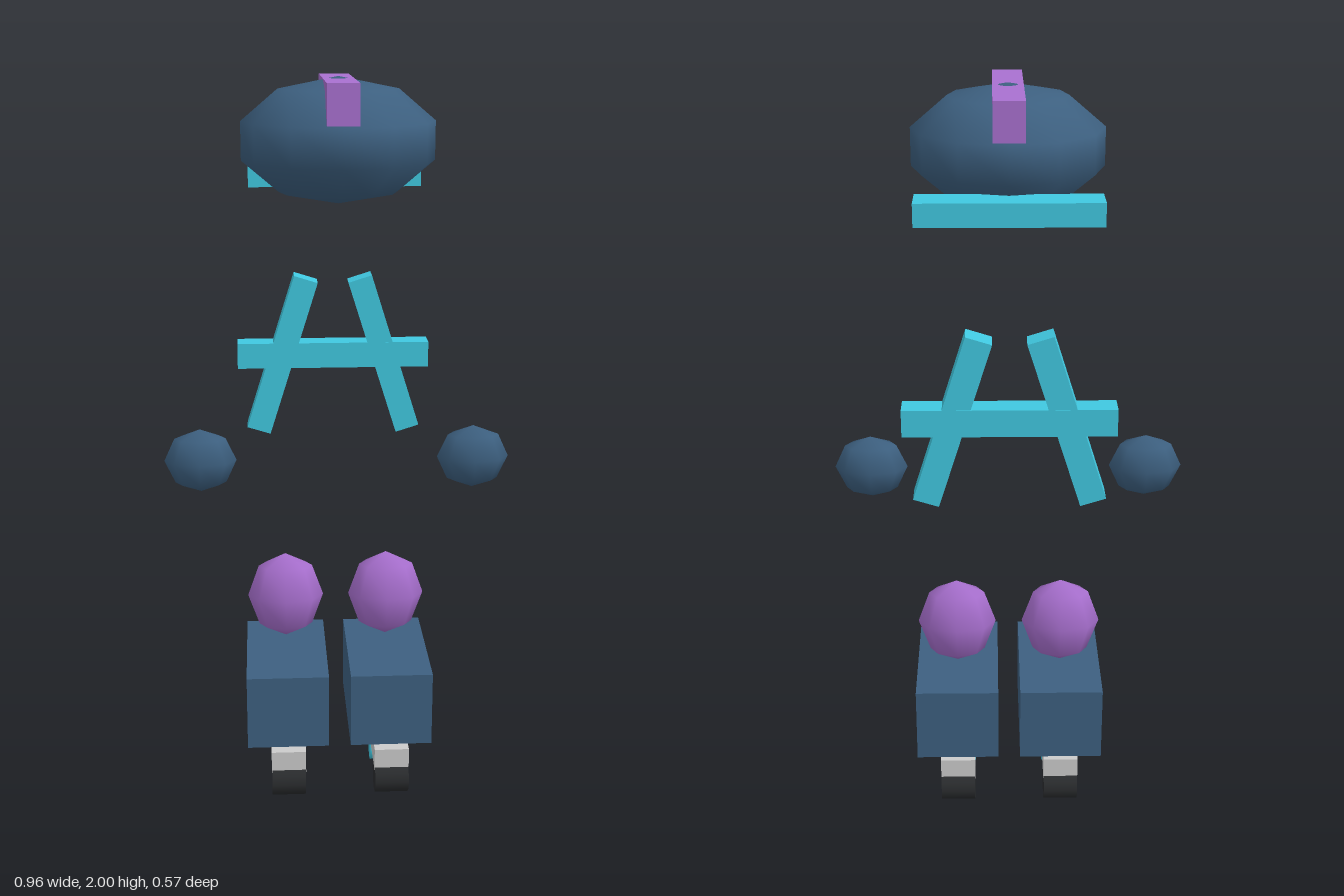
import * as THREE from 'three';

export function createModel() {
  const model = new THREE.Group();
  const mat = (color) => new THREE.MeshStandardMaterial({ color });
  const navy = mat(0x3d6080), purple = mat(0xa970d0), cyan = mat(0x40c8e0);
  const grey = mat(0xc0c0c0), black = mat(0x2a2c2e);

  function add(name, geometry, material, x, y, z, parent = model) {
    const mesh = new THREE.Mesh(geometry, material);
    mesh.name = name;
    mesh.position.set(x, y, z);
    parent.add(mesh);
    return mesh;
  }
  const box = (w, h, d) => new THREE.BoxGeometry(w, h, d);
  const ellipsoid = (rx, ry, rz, around, rows) =>
    new THREE.SphereGeometry(1, around, rows).scale(rx, ry, rz);

  // Helmet with its crest and neck guard
  add('helmet', ellipsoid(0.263, 0.16, 0.246, 12, 5), navy, 0, 1.84, 0.047);
  add('helmetCrest', box(0.08, 0.1, 0.47), purple, 0, 1.945, 0.047);
  add('neckGuard', box(0.47, 0.06, 0.095), cyan, 0, 1.73, -0.181);

  // Back harness: a crossbar and two splayed straps
  add('harnessCrossbar', box(0.55, 0.073, 0.066), cyan, 0, 1.208, -0.252);

  for (const side of [-1, 1]) {
    const prefix = side > 0 ? 'left' : 'right';
    const strap = add(prefix + 'HarnessStrap', box(0.07, 0.466, 0.065), cyan, side * 0.147, 1.207, -0.252);
    strap.rotation.z = side * 0.305;

    // Glove and knee pad
    add(prefix + 'Glove', ellipsoid(0.1, 0.09, 0.061, 8, 4), navy, side * 0.38, 0.965, -0.01);
    add(prefix + 'KneePad', ellipsoid(0.11, 0.13, 0.066, 8, 4), purple, side * 0.147, 0.518, -0.095);

    // Skate: boot, chassis and three wheels in line
    const skate = new THREE.Group();
    skate.name = prefix + 'Skate';
    skate.position.x = side * 0.147;
    model.add(skate);
    add('boot', box(0.232, 0.217, 0.385), navy, 0, 0.258, -0.047, skate);
    add('chassis', box(0.098, 0.065, 0.42), grey, 0, 0.113, -0.04, skate);
    const wheel = new THREE.CylinderGeometry(0.05, 0.05, 0.096, 12).rotateZ(Math.PI / 2);
    add('frontWheel', wheel, black, 0, 0.05, 0.14, skate);
    add('middleWheel', wheel, cyan, 0, 0.052, -0.04, skate);
    add('rearWheel', wheel, black, 0, 0.05, -0.22, skate);
  }
  return model;
}
